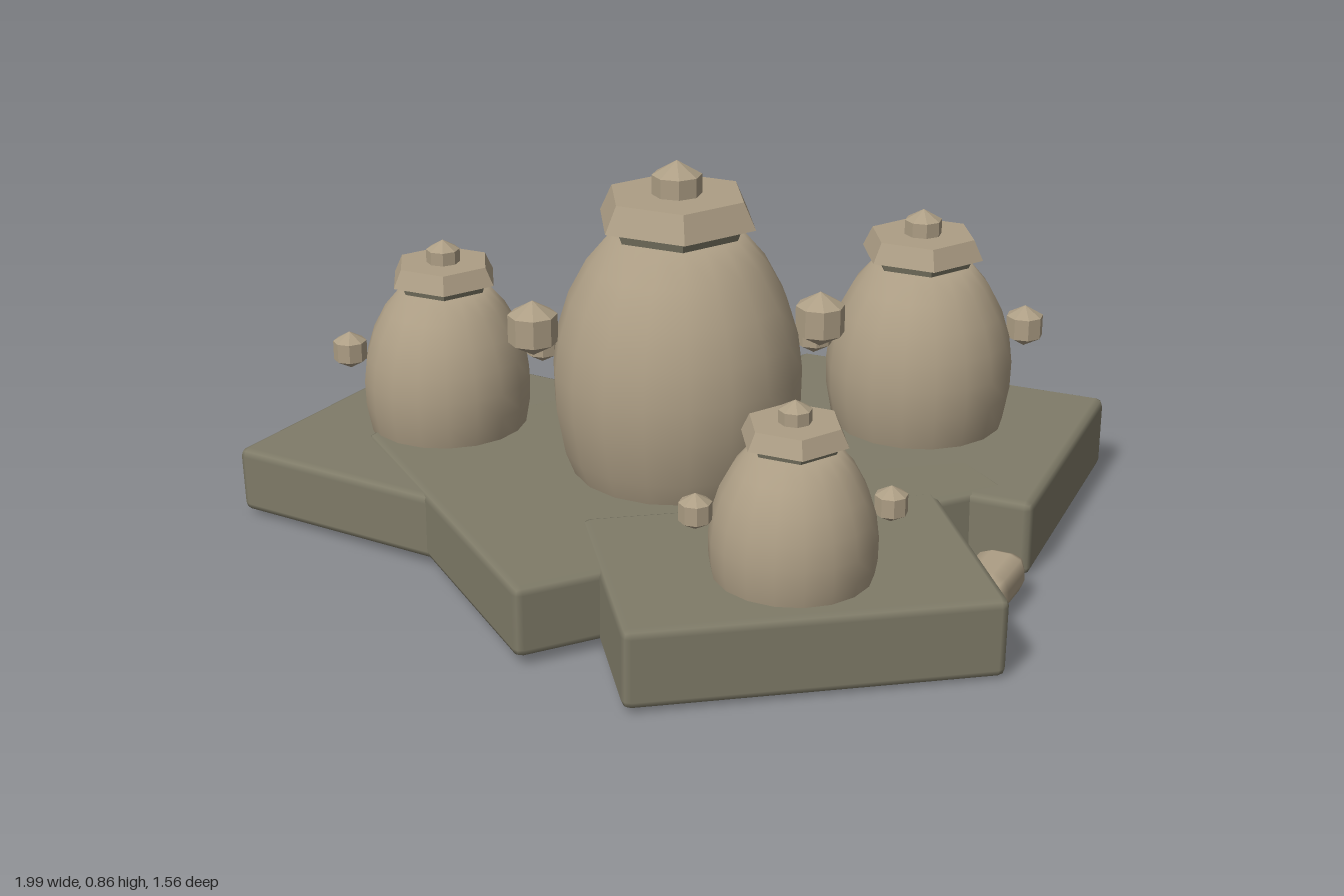
import * as THREE from 'three';
import { RoundedBoxGeometry } from 'three/addons/geometries/RoundedBoxGeometry.js';

export function createModel() {
  const root = new THREE.Group();
  root.name = 'potCluster';

  const stone = new THREE.MeshStandardMaterial({ color: 0x7f7b68 });
  stone.name = 'olive stone';
  const clay = new THREE.MeshStandardMaterial({ color: 0xad9e85 });
  clay.name = 'tan clay';

  const add = (parent, name, geometry, material, x = 0, y = 0, z = 0) => {
    const mesh = new THREE.Mesh(geometry, material);
    mesh.name = name;
    mesh.position.set(x, y, z);
    parent.add(mesh);
    return mesh;
  };
  const faceted = (geometry) => {
    const flat = geometry.toNonIndexed();
    flat.computeVertexNormals();
    return flat;
  };

  // Overlapping paving slabs: centre, size, turn and slight tilt
  const slabs = [
    ['centreSlab', -0.025, 0.105, -0.045, 1.14, 0.155, 0.89, 0.36, 0, 0],
    ['leftBackSlab', -0.56, 0.1, -0.335, 0.57, 0.15, 0.71, -0.655, 0.012, 0.02],
    ['rightBackSlab', 0.515, 0.1, -0.195, 0.755, 0.172, 0.645, -0.49, 0.012, -0.008],
    ['frontSlab', 0.15, 0.1, 0.48, 0.765, 0.17, 0.52, 0.1, 0.008, -0.008],
  ];
  for (const [name, x, y, z, w, h, d, turn, tiltX, tiltZ] of slabs) {
    const slab = add(root, name, new RoundedBoxGeometry(w, h, d, 1, 0.018), stone, x, y, z);
    slab.rotation.set(tiltX, turn, tiltZ, 'YXZ');
  }

  // Egg-shaped pot body
  const profile = [
    [0, 0], [0.12, 0], [0.17, 0.05], [0.215, 0.13], [0.25, 0.22], [0.268, 0.32], [0.27, 0.4],
    [0.26, 0.48], [0.235, 0.56], [0.195, 0.635], [0.14, 0.7], [0, 0.7],
  ].map(([r, y]) => new THREE.Vector2(r, y));
  const bodyGeometry = new THREE.LatheGeometry(profile, 18);
  const collarGeometry = faceted(new THREE.CylinderGeometry(0.152, 0.137, 0.04, 6));
  const lidGeometry = faceted(new THREE.CylinderGeometry(0.154, 0.182, 0.058, 6));
  const knobGeometry = faceted(new THREE.SphereGeometry(0.062, 8, 3));

  // Every pot is one design at a different scale
  const pots = [
    ['bigPot', -0.03, -0.02, 1],
    ['leftPot', -0.53, -0.32, 0.7],
    ['rightPot', 0.54, -0.23, 0.78],
    ['frontPot', 0.15, 0.54, 0.625],
  ];
  for (const [name, x, z, scale] of pots) {
    const pot = new THREE.Group();
    pot.name = name;
    pot.position.set(x, 0.013, z);
    pot.scale.setScalar(scale);
    root.add(pot);
    add(pot, 'body', bodyGeometry, clay);
    add(pot, 'collar', collarGeometry, stone, 0, 0.71, 0);
    add(pot, 'lid', lidGeometry, clay, 0, 0.757, 0);
    add(pot, 'lidKnob', knobGeometry, clay, 0, 0.797, 0);
    for (const side of [-1, 1]) {
      add(pot, side > 0 ? 'leftHandle' : 'rightHandle', knobGeometry, clay, side * 0.31, 0.495, 0);
    }
  }

  // Loose pebble beside the front slab
  const pebble = add(root, 'pebble', new RoundedBoxGeometry(0.11, 0.09, 0.17, 1, 0.035), clay, 0.588, 0.067, 0.39);
  pebble.rotation.y = -0.55;

  return root;
}
